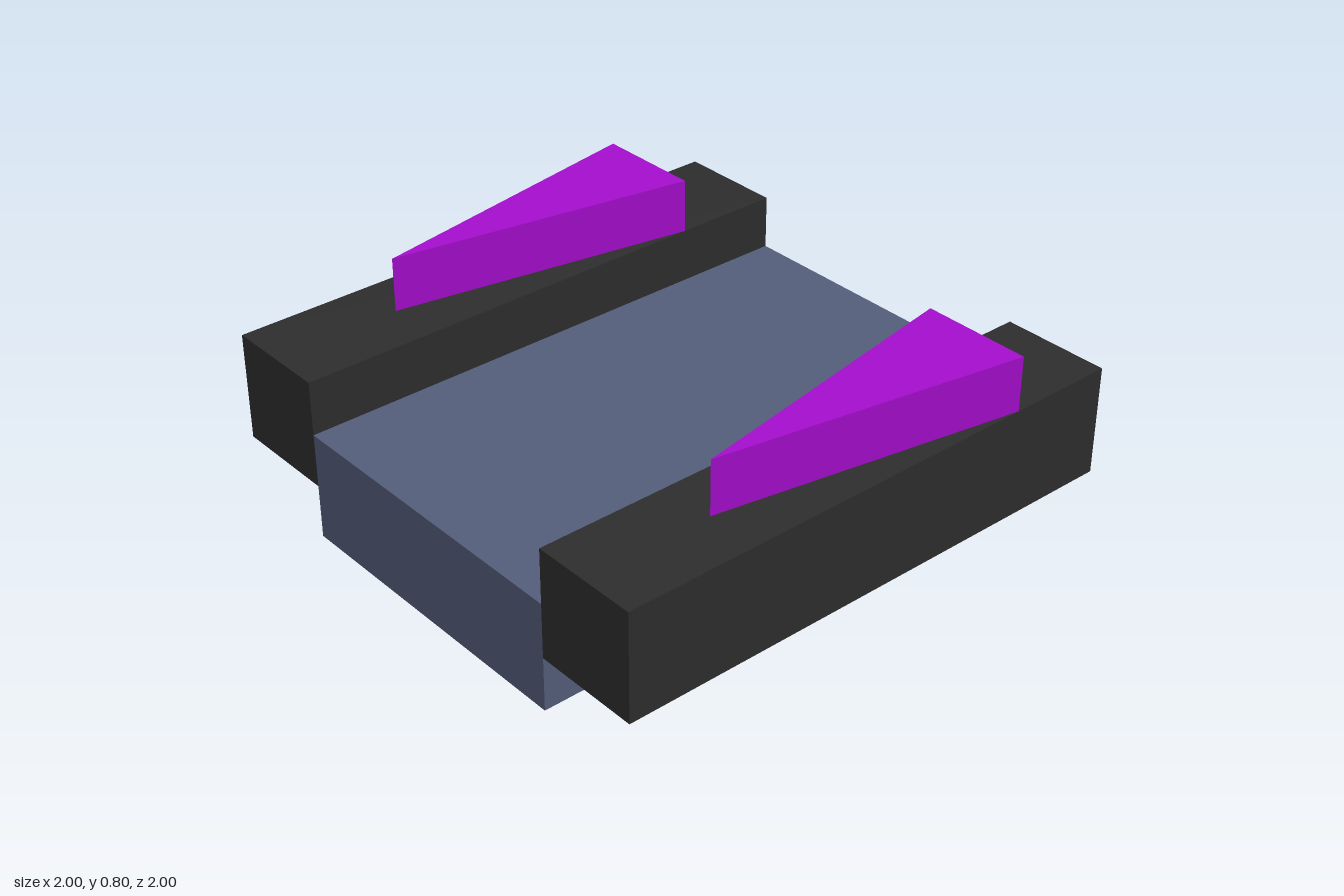
import * as THREE from 'three';

export function createModel() {
  const model = new THREE.Group();
  model.name = 'model';
  const slate = new THREE.MeshStandardMaterial({ name: 'slate blue', color: 0x535d79 });
  const charcoal = new THREE.MeshStandardMaterial({ name: 'charcoal', color: 0x2d2d2d });
  const purple = new THREE.MeshStandardMaterial({ name: 'purple', color: 0xa50dcc });

  const add = (name, geometry, material, x, y) => {
    const mesh = new THREE.Mesh(geometry, material);
    mesh.name = name;
    mesh.position.set(x, y, 0);
    model.add(mesh);
  };

  // Central slab
  add('deck', new THREE.BoxGeometry(1.2, 0.4, 2), slate, 0, 0.2);

  // Triangular arrow, pointing to the front, lying on a rail
  const outline = new THREE.Shape([
    new THREE.Vector2(0, -0.52),
    new THREE.Vector2(0.2, 0.6),
    new THREE.Vector2(-0.2, 0.6),
  ]);
  const arrow = new THREE.ExtrudeGeometry(outline, { depth: 0.2, bevelEnabled: false });
  arrow.rotateX(-Math.PI / 2);
  const rail = new THREE.BoxGeometry(0.4, 0.4, 2);

  // Raised side rails, each with its arrow
  for (const [side, x] of [['left', 0.8], ['right', -0.8]]) {
    add(side + 'Rail', rail, charcoal, x, 0.4);
    add(side + 'Arrow', arrow, purple, x, 0.6);
  }
  return model;
}
